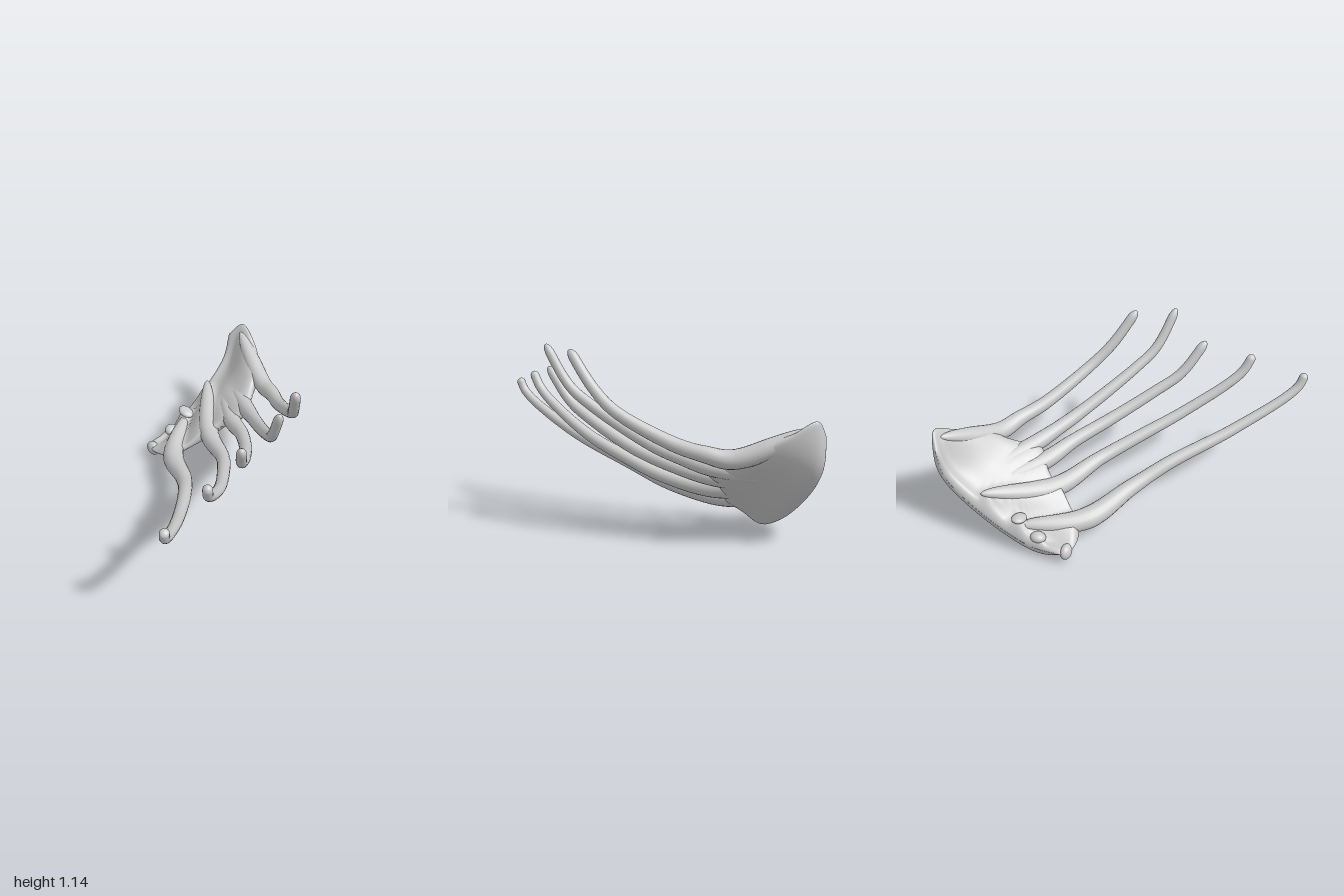
import * as THREE from 'three';

const material = new THREE.MeshStandardMaterial({ color: 0xcccccc });
const V = (x, y, z) => new THREE.Vector3(x, y, z);
const spline = (pts) => new THREE.CatmullRomCurve3(pts, false, 'centripetal');

// Smooth skin over rings of points; fn(u, angle) gives a point, rings are closed
function loft(fn, rings, sides) {
  const pos = [], idx = [];
  for (let i = 0; i <= rings; i++)
    for (let j = 0; j < sides; j++) pos.push(...fn(i / rings, (j / sides) * Math.PI * 2).toArray());
  for (let i = 0; i < rings; i++)
    for (let j = 0; j < sides; j++) {
      const a = i * sides + j, b = i * sides + (j + 1) % sides;
      idx.push(a, b, a + sides, b, b + sides, a + sides);
    }
  // Turn the faces outward: the enclosed volume must be positive
  const p = (k) => new THREE.Vector3().fromArray(pos, idx[k] * 3);
  let volume = 0;
  for (let k = 0; k < idx.length; k += 3) volume += p(k).dot(p(k + 1).cross(p(k + 2)));
  if (volume < 0) idx.reverse();
  const g = new THREE.BufferGeometry();
  g.setAttribute('position', new THREE.Float32BufferAttribute(pos, 3));
  g.setIndex(idx);
  g.computeVertexNormals();
  return g;
}

// Factor that rounds off both ends of a 0..1 range
function roundEnds(t, len) {
  const e = Math.min(1, Math.max(0, Math.min(t, 1 - t)) / len);
  return Math.max(0.01, Math.sqrt(1 - (1 - e) ** 2));
}

// Ribs thicken steadily from tip to root
function ribRadius(x, t) {
  const r = Math.min(0.072, 0.046 - x * (x > 0 ? 0.026 : 0.07));
  return r * roundEnds(t, t < 0.5 ? 0.04 : 0.22);
}

function ribGeometry(path) {
  return loft((u, a) => {
    const t = 0.5 - 0.5 * Math.cos(Math.PI * u);
    const center = path.getPoint(t);
    const r = ribRadius(center.x, t);
    const dir = path.getTangent(t);
    const side = dir.clone().cross(V(0, 1, 0)).normalize();
    const up = side.clone().cross(dir);
    return center.addScaledVector(side, r * Math.cos(a)).addScaledVector(up, r * Math.sin(a));
  }, 72, 18);
}

// Rib centre lines from tip to root, rearmost first
const ribPaths = [
  [[0.592, 1.125, -0.135], [0.485, 0.91, -0.26], [0.385, 0.78, -0.37], [0.1, 0.605, -0.58],
    [-0.05, 0.555, -0.69], [-0.2, 0.53, -0.765], [-0.59, 0.705, -0.945]],
  [[0.682, 1.145, 0.105], [0.56, 0.9, 0.015], [0.455, 0.79, -0.08], [0.15, 0.57, -0.34],
    [0, 0.5, -0.45], [-0.15, 0.45, -0.55], [-0.52, 0.4, -0.78]],
  [[0.615, 0.99, 0.335], [0.505, 0.78, 0.21], [0.4, 0.67, 0.07], [0.2, 0.52, -0.16],
    [0, 0.43, -0.34], [-0.2, 0.375, -0.46], [-0.52, 0.35, -0.7]],
  [[0.655, 0.935, 0.64], [0.605, 0.81, 0.58], [0.4, 0.57, 0.28], [0.2, 0.435, 0.04],
    [0, 0.335, -0.16], [-0.3, 0.275, -0.34], [-0.65, 0.39, -0.67]],
  [[0.682, 0.86, 0.98], [0.645, 0.765, 0.945], [0.4, 0.53, 0.63], [0.1, 0.355, 0.28],
    [-0.1, 0.25, 0.1], [-0.4, 0.17, -0.09], [-0.64, 0.2, -0.44]],
].map((stations) => spline(stations.map((s) => V(...s))));

// Root plate mid-surface: columns of points from back to front
const plateColumns = [
  [[-0.685, 0.66, -0.93], [-0.685, 0.48, -0.89], [-0.685, 0.27, -0.67], [-0.685, 0.1, -0.34], [-0.685, 0.1, -0.13]],
  [[-0.6, 0.755, -0.98], [-0.6, 0.49, -0.91], [-0.6, 0.27, -0.66], [-0.6, 0.055, -0.26], [-0.6, 0.11, -0.08]],
  [[-0.45, 0.67, -0.945], [-0.45, 0.52, -0.85], [-0.45, 0.33, -0.62], [-0.45, 0.18, -0.36], [-0.45, 0.13, -0.11]],
  [[-0.27, 0.56, -0.83], [-0.23, 0.49, -0.71], [-0.14, 0.415, -0.51], [-0.24, 0.33, -0.42], [-0.31, 0.26, -0.29]],
];

// Knuckles along the inner edge: centre, radii, tilt about z
const knuckles = [
  [[-0.625, 0.25, -0.43], [0.06, 0.025, 0.045], -0.25],
  [[-0.64, 0.15, -0.3], [0.045, 0.035, 0.05], -0.3],
  [[-0.635, 0.09, -0.115], [0.052, 0.05, 0.035], 0],
];

// Places where the plate swells up to meet ribs and knuckles
const swells = knuckles.map(([center]) => ({ p: V(...center), r: 0.035 }));
for (const path of ribPaths)
  for (let t = 0.55; t < 1; t += 0.01) {
    const p = path.getPoint(t);
    swells.push({ p, r: ribRadius(p.x, t) });
  }

function plateGeometry() {
  const rows = plateColumns[0].map((_, i) => spline(plateColumns.map((column) => V(...column[i]))));
  return loft((u, a) => {
    const c = 0.5 - 0.5 * Math.cos(Math.PI * u);
    const mid = spline(rows.map((row) => row.getPoint(c)));
    const s = 0.5 - 0.5 * Math.cos(a);
    const d = mid.getTangent(s);
    const normal = V(0, d.z, -d.y).normalize();
    const v = mid.getPoint(s).addScaledVector(normal, 0.055 * Math.sin(a) * roundEnds(c, 0.15));
    let lift = 0;
    for (const { p, r } of swells) {
      const spread = ((v.x - p.x) ** 2 + (v.z - p.z) ** 2) / (1.5 * r) ** 2;
      lift = Math.max(lift, (p.y + 0.6 * r - v.y) * Math.exp(-spread));
    }
    v.y += lift * THREE.MathUtils.smoothstep(Math.sin(a), 0, 0.4) * roundEnds(c, 0.1);
    return v;
  }, 72, 112);
}

export function createModel() {
  const group = new THREE.Group();
  const add = (name, geometry) => {
    const mesh = new THREE.Mesh(geometry, material);
    mesh.name = name;
    group.add(mesh);
    return mesh;
  };
  add('rootPlate', plateGeometry());
  ribPaths.forEach((path, i) => add(`rib${i + 1}`, ribGeometry(path)));
  knuckles.forEach(([center, radii, tilt], i) => {
    const knuckle = add(`knuckle${i + 1}`, new THREE.SphereGeometry(1, 24, 16));
    knuckle.position.set(...center);
    knuckle.scale.set(...radii);
    knuckle.rotation.z = tilt;
  });
  return group;
}
